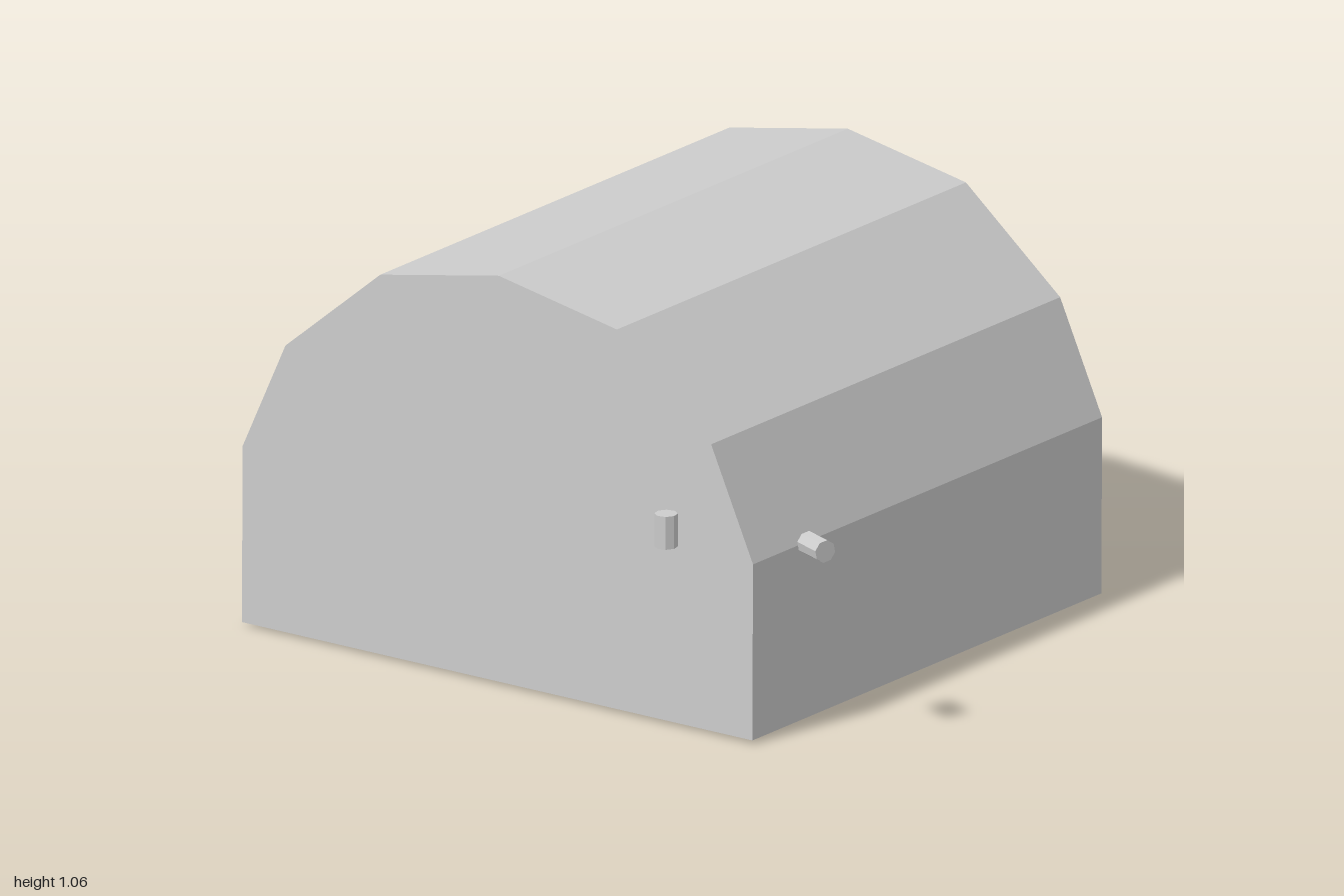
import * as THREE from 'three';

const LENGTH = 1.45;
// Cross-section of the hall, from left foot to right foot
const half = [[0.777, 0], [0.777, 0.455], [0.648, 0.74], [0.36, 0.98]];
const profile = [
  ...half.map(([x, y]) => [-x, y]),
  [0, 1.048],
  ...half.slice().reverse(),
];

export function createModel() {
  const model = new THREE.Group();
  model.name = 'archedHall';
  const grey = new THREE.MeshStandardMaterial({ color: 0xcccccc });
  grey.name = 'plain grey';
  grey.side = THREE.DoubleSide;
  grey.flatShading = true;

  function add(parent, name, geometry) {
    const mesh = new THREE.Mesh(geometry, grey);
    mesh.name = name;
    parent.add(mesh);
    return mesh;
  }

  // Hall: a thin shell, open underneath, turned on the ground and tipped very slightly
  const hall = new THREE.Group();
  hall.name = 'hall';
  hall.rotation.order = 'YXZ';
  hall.rotation.set(-0.0065, -0.396, 0);
  hall.position.set(0, 0.006, -0.0175);
  model.add(hall);

  // Side walls and faceted roof: a plane bent along the cross-section
  const shell = new THREE.PlaneGeometry(1, 1, profile.length - 1, 1);
  const pos = shell.attributes.position;
  for (let i = 0; i < pos.count; i++) {
    const [x, y] = profile[i % profile.length];
    pos.setXYZ(i, x, y, -pos.getY(i) * LENGTH);
  }
  const flatShell = shell.toNonIndexed();
  flatShell.computeVertexNormals();
  add(hall, 'wallsAndRoof', flatShell);

  // End walls
  const outline = new THREE.Shape(profile.map(([x, y]) => new THREE.Vector2(x, y)));
  add(hall, 'frontWall', new THREE.ShapeGeometry(outline)).position.z = LENGTH / 2;
  const back = add(hall, 'backWall', new THREE.ShapeGeometry(outline));
  back.rotation.y = Math.PI;
  back.position.z = -LENGTH / 2;

  // Small pegs around the hall: upright ones, and level ones set diagonally
  const peg = new THREE.CylinderGeometry(0.029, 0.029, 0.085, 8).rotateY(0.2);
  const levelPeg = peg.clone().rotateZ(Math.PI / 2).rotateY(-Math.PI / 4);
  for (const [x, y, z] of [[0.215, 0.533, 0.933], [-0.795, 0.533, -0.452], [-0.682, 0.533, -0.528]]) {
    add(model, 'uprightPeg', peg).position.set(x, y, z);
  }
  for (const [x, y, z] of [[0.594, 0.518, 0.932], [-0.81, 0.518, -0.337]]) {
    add(model, 'levelPeg', levelPeg).position.set(x, y, z);
  }
  return model;
}
